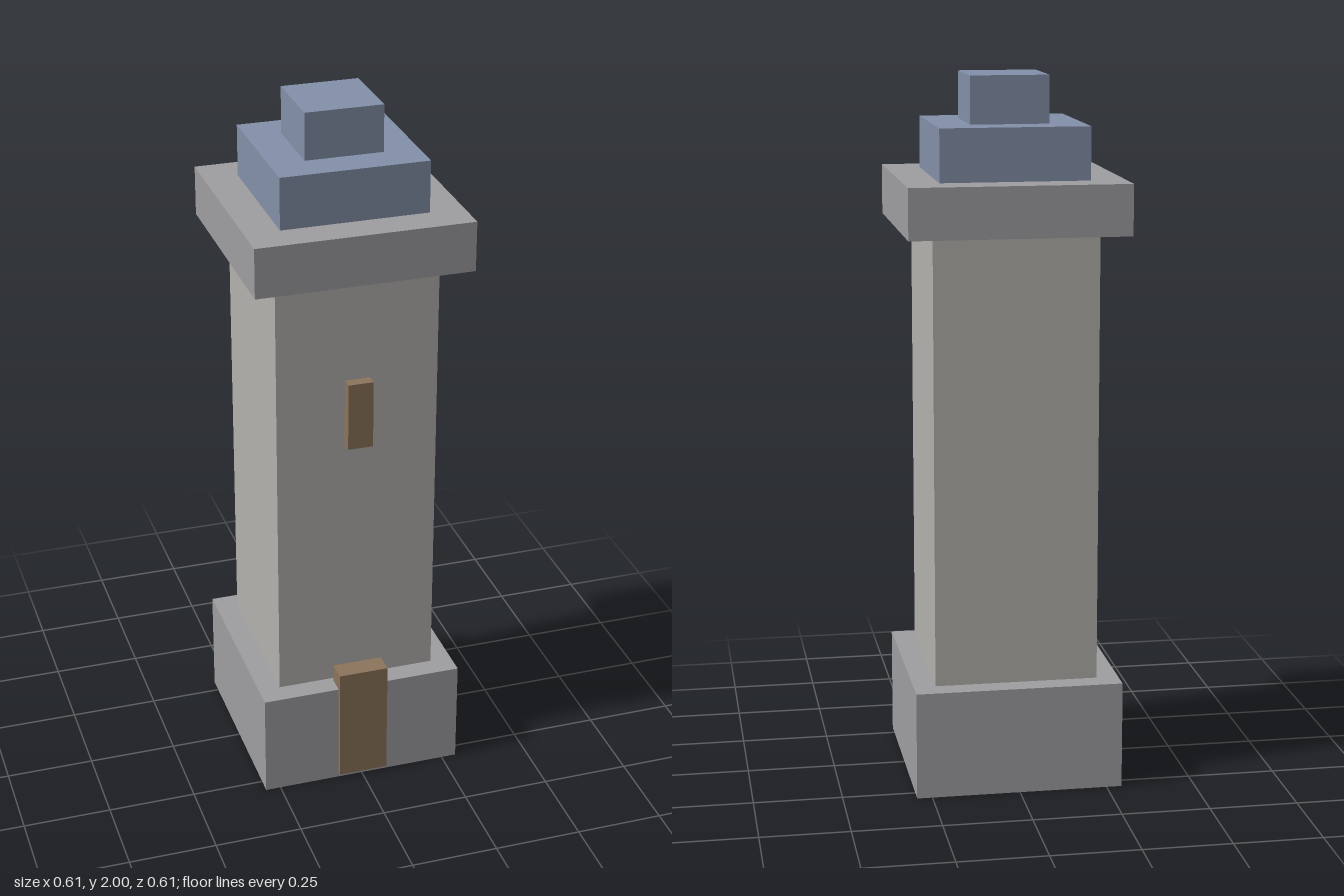
import * as THREE from 'three';

const paint = (color) => new THREE.MeshStandardMaterial({ color });

export function createModel() {
  const tower = new THREE.Group();
  tower.name = 'tower';

  const stone = paint(0x9e9da1);
  const wall = paint(0xb4b1ad);
  const slate = paint(0x8390a9);
  const wood = paint(0x8c745b);

  // Box given by its width, depth, bottom, top and centre z
  function block(name, width, depth, bottom, top, z, material) {
    const mesh = new THREE.Mesh(new THREE.BoxGeometry(width, top - bottom, depth), material);
    mesh.name = name;
    mesh.position.set(0, (bottom + top) / 2, z);
    tower.add(mesh);
  }

  // Square tiers stacked from the ground up
  const tiers = [
    ['base', 0.587, 0, 0.307, stone],
    ['shaft', 0.462, 0.307, 1.578, wall],
    ['parapet', 0.612, 1.578, 1.72, stone],
    ['lowerRoof', 0.416, 1.72, 1.867, slate],
    ['upperRoof', 0.22, 1.867, 2, slate],
  ];
  for (const [name, size, bottom, top, material] of tiers) {
    block(name, size, size, bottom, top, 0, material);
  }

  // Door and window on the front
  block('door', 0.144, 0.06, 0.015, 0.36, 0.276, wood);
  block('window', 0.072, 0.06, 1.07, 1.267, 0.233, wood);

  return tower;
}
